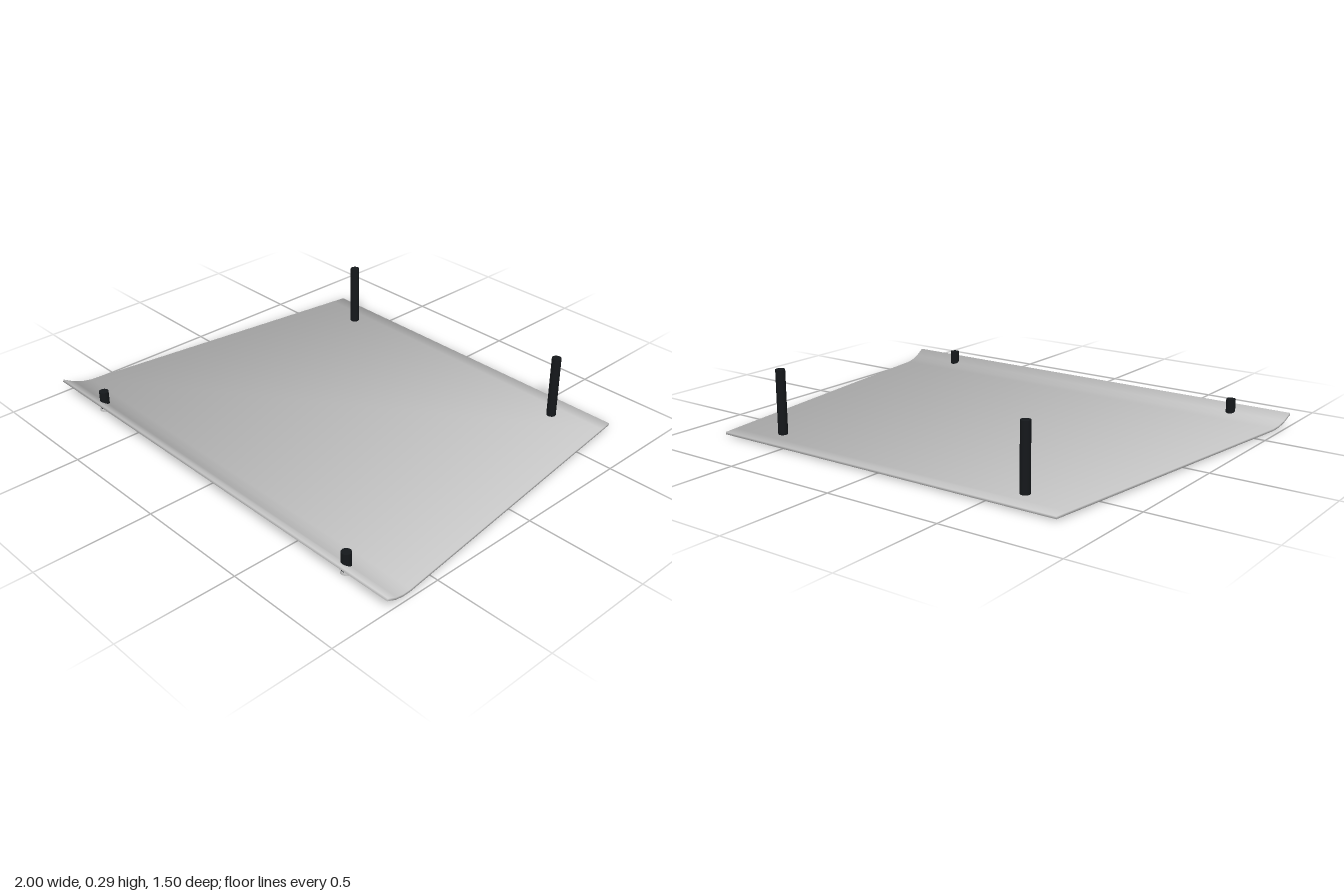
import * as THREE from 'three';

const grey = new THREE.MeshStandardMaterial({ color: 0xcccccc });
const black = new THREE.MeshStandardMaterial({ color: 0x15181b });

// Tapered thin panel: four-corner sections lofted from back to front, with softened edge normals
function panelGeometry() {
  // [z, y] of the middle line; the front end curls up
  const line = [[-0.75, 0.013], [-0.69, 0.013], [0.62, 0.013], [0.66, 0.018], [0.7, 0.03], [0.747, 0.055]];
  const corners = [[-1, 1], [1, 1], [1, -1], [-1, -1]];
  const half = 0.005, last = line.length - 1;
  const pos = [], nor = [], idx = [];
  line.forEach(([z, y], i) => {
    const a = line[Math.max(i - 1, 0)], b = line[Math.min(i + 1, last)];
    const along = new THREE.Vector2(b[0] - a[0], b[1] - a[1]).normalize();
    const end = i === 0 ? -1 : i === last ? 1 : 0;
    const width = 0.905 + 0.095 * z / 0.75;
    for (const [sx, sy] of corners) {
      pos.push(sx * width, y + sy * half * along.x, z - sy * half * along.y);
      const n = new THREE.Vector3(sx, sy * along.x + end * along.y, -sy * along.y + end * along.x).normalize();
      nor.push(n.x, n.y, n.z);
    }
    if (i === last) return;
    for (let k = 0; k < 4; k++) {
      const p = i * 4 + k, q = i * 4 + (k + 1) % 4;
      idx.push(p, p + 4, q, q, p + 4, q + 4);
    }
  });
  const f = last * 4;
  idx.push(0, 1, 2, 0, 2, 3, f, f + 2, f + 1, f, f + 3, f + 2);
  const g = new THREE.BufferGeometry();
  g.setAttribute('position', new THREE.Float32BufferAttribute(pos, 3));
  g.setAttribute('normal', new THREE.Float32BufferAttribute(nor, 3));
  g.setIndex(idx);
  return g;
}

// Upright cylinder between two heights
function post(name, radius, y0, y1, x, z, material) {
  const m = new THREE.Mesh(new THREE.CylinderGeometry(radius, radius, y1 - y0, 24), material);
  m.position.set(x, (y0 + y1) / 2, z);
  m.name = name;
  return m;
}

export function createModel() {
  const model = new THREE.Group();
  model.name = 'panelWithPosts';

  const panel = new THREE.Mesh(panelGeometry(), grey);
  panel.name = 'panel';
  model.add(panel);

  // Short posts at the front, tall ones at the back, each with a grey foot
  for (const side of [-1, 1]) {
    const tag = side > 0 ? 'Left' : 'Right';
    for (const [name, x, z, top] of [['front', 0.75, 0.7, 0.09], ['back', 0.6, -0.63, 0.29]]) {
      model.add(post(name + tag + 'Post', 0.02, 0.01, top, side * x, z, black));
      model.add(post(name + tag + 'Foot', 0.023, 0, 0.012, side * x, z, grey));
    }
  }
  return model;
}
